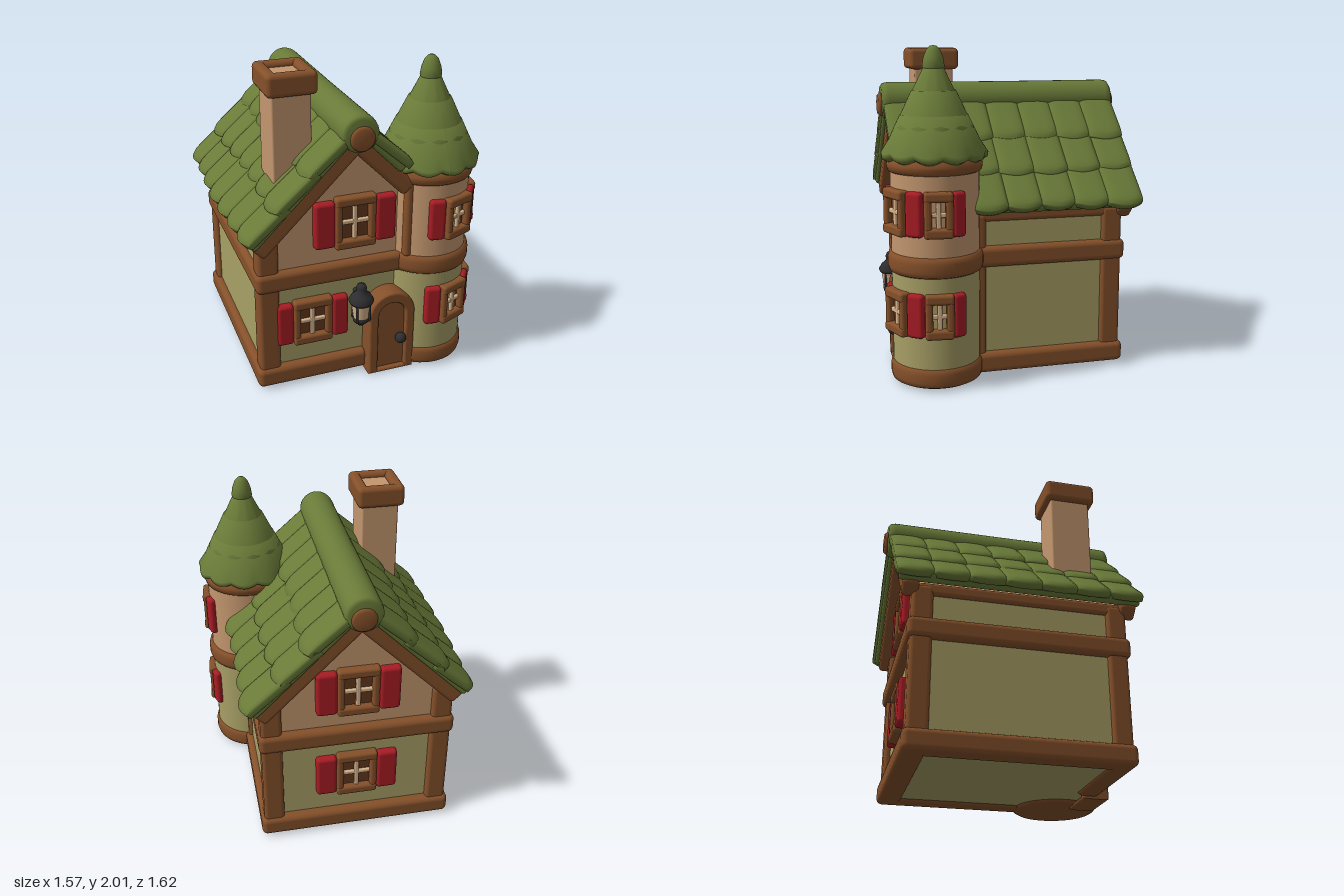
import * as THREE from 'three';
import { mergeVertices } from 'three/addons/utils/BufferGeometryUtils.js';
import { RoundedBoxGeometry } from 'three/addons/geometries/RoundedBoxGeometry.js';

const mat = (name, color) => new THREE.MeshStandardMaterial({ name, color });
const wood = mat('brown timber', 0x85502a);
const olive = mat('olive plaster', 0xa89f66);
const tan = mat('tan plaster', 0xc4976f);
const green = mat('green shingle', 0x697a38);
const red = mat('red shutter', 0xa81c24);
const iron = mat('dark iron', 0x2e2e31);
const pane = mat('dark pane', 0x63391e);
const cream = mat('cream bars', 0xd8b48c);

const CX = -0.08;             // house centre line
const TX = 0.45, TZ = 0.48;   // tower axis
const RIDGE = 1.70;

function add(parent, name, geo, material, x = 0, y = 0, z = 0) {
  const m = new THREE.Mesh(geo, material);
  m.name = name;
  m.position.set(x, y, z);
  parent.add(m);
  return m;
}
function group(parent, name, x = 0, y = 0, z = 0) {
  const g = new THREE.Group();
  g.name = name;
  g.position.set(x, y, z);
  parent.add(g);
  return g;
}
// Soft-edged box given by its limits
function box(parent, name, material, x0, x1, y0, y1, z0, z1, r = 0.025) {
  const w = x1 - x0, h = y1 - y0, d = z1 - z0;
  const geo = new RoundedBoxGeometry(w, h, d, 3, Math.min(r, w / 2.1, h / 2.1, d / 2.1));
  return add(parent, name, geo, material, (x0 + x1) / 2, (y0 + y1) / 2, (z0 + z1) / 2);
}
const lathe = (pts, n = 48) => new THREE.LatheGeometry(pts.map(p => new THREE.Vector2(...p)), n);

// Frame, pane and cross bars, facing +z with the wall at z = 0
function windowFrame(parent, w, h) {
  const t = 0.045, a = w / 2, b = h / 2;
  for (const s of [-1, 1]) {
    box(parent, 'windowPost', wood, s * (a - t / 2) - t / 2, s * (a - t / 2) + t / 2, -b + 0.01, b - 0.01, -0.03, 0.05, 0.018);
    box(parent, 'windowRail', wood, -a, a, s * (b - 0.03) - 0.03, s * (b - 0.03) + 0.03, -0.03, 0.055, 0.018);
  }
  box(parent, 'windowPane', pane, -a + 0.02, a - 0.02, -b + 0.02, b - 0.02, -0.03, 0.012, 0.003);
  box(parent, 'windowBarUpright', cream, -0.014, 0.014, -b + 0.04, b - 0.04, 0, 0.032, 0.008);
  box(parent, 'windowBarCross', cream, -a + 0.03, a - 0.03, -0.014, 0.014, 0, 0.03, 0.008);
}
function shutter(parent, x, w, h) {
  box(parent, 'shutter', red, x - w / 2, x + w / 2, -h / 2, h / 2, -0.02, 0.048, 0.022);
}
function shutteredWindow(root, x, y, z, w, h, sw, sh, back) {
  const g = group(root, 'shutteredWindow', x, y, z);
  if (back) g.rotation.y = Math.PI;
  windowFrame(g, w, h);
  for (const s of [-1, 1]) shutter(g, s * (w + sw) / 2, sw, sh);
}

// Pillow-shaped shingle with a curved lower edge; +x runs down the slope
function shingle(L, T, W) {
  let geo = new THREE.BoxGeometry(L, T, W, 10, 2, 10);
  const p = geo.attributes.position;
  for (let i = 0; i < p.count; i++) {
    const u = p.getX(i) / (L / 2), v = p.getZ(i) / (W / 2), y = p.getY(i);
    p.setX(i, p.getX(i) - 0.035 * v * v * Math.max(u, 0));
    p.setY(i, y > 0 ? y * (1 - 0.45 * v ** 4 - 0.4 * Math.max(u, 0) ** 8) : y);
  }
  geo.deleteAttribute('normal');
  geo.deleteAttribute('uv');
  geo = mergeVertices(geo);
  geo.computeVertexNormals();
  return geo;
}

function buildRoof(root) {
  const rows = [[0.02, 0.45], [0.36, 0.71], [0.62, 0.97]];
  const z0 = -0.785, z1 = 0.715, n = 7, cw = (z1 - z0) / n, cut = 0.26;
  for (const side of [-1, 1]) {
    const spin = group(root, side > 0 ? 'leftRoofSlope' : 'rightRoofSlope', CX, RIDGE, 0);
    spin.rotation.y = side > 0 ? 0 : Math.PI;
    const g = group(spin, 'slopePlane');
    g.rotation.z = -Math.PI / 4;
    // Decking; the tower side stops short at the tower
    const deck = (s, a, b) => box(g, 'roofDeck', green, 0, s, -0.05, 0.012, Math.min(a * side, b * side), Math.max(a * side, b * side), 0.02);
    if (side > 0) {
      deck(0.94, z0 + 0.01, 0.3);
      deck(0.42, 0.25, z1 - 0.01);
    } else deck(0.94, z0 + 0.01, z1 - 0.01);
    rows.forEach(([s0, s1], r) => {
      for (let c = 0; c < n; c++) {
        const z = z0 + cw * (c + 0.5), wob = Math.sin(c * 5.3 + r * 2.9 + side) * 0.012;
        if (side > 0 && r > 0 && z > cut + 0.06) continue;
        const tile = add(g, 'shingle', shingle(s1 - s0 + wob, 0.06, cw + 0.012), green, (s0 + s1 + wob) / 2, 0.012 + wob * 0.3, z * side);
        tile.rotation.z = 0.07;
      }
    });
    // Gable boards
    for (const [zc, s] of [[0.635, side > 0 ? 0.56 : 0.95], [-0.7, 0.95]])
      box(g, 'gableBoard', wood, 0, s, -0.14, -0.035, zc * side - 0.05, zc * side + 0.05);
  }
  // Ridge roll and its timber ends
  const roll = add(root, 'ridgeRoll', lathe([[0, -0.765], [0.09, -0.765], [0.11, -0.75], [0.115, -0.72], [0.113, 0], [0.115, 0.72], [0.11, 0.75], [0.09, 0.765], [0, 0.765]], 32), green, CX, 1.648, -0.035);
  roll.rotation.x = Math.PI / 2;
  const log = add(root, 'ridgeLog', lathe([[0, -0.785], [0.06, -0.785], [0.075, -0.77], [0.075, 0.77], [0.06, 0.785], [0, 0.785]], 32), wood, CX + 0.005, 1.625, -0.035);
  log.rotation.x = Math.PI / 2;
}

function buildBody(root) {
  box(root, 'plasterBody', olive, CX - 0.575, CX + 0.575, 0.02, 1.0, -0.65, 0.59, 0.005);
  const s = new THREE.Shape();
  [[-0.56, 0.74], [0.56, 0.74], [0.56, 1.03], [0, 1.58], [-0.56, 1.03]].forEach(([x, y], i) => i ? s.lineTo(x, y) : s.moveTo(x, y));
  add(root, 'gableWalls', new THREE.ExtrudeGeometry(s, { depth: 1.25, bevelEnabled: false }), tan, CX, 0, -0.655);
  // Horizontal beams around the house
  for (const [name, y0, y1, h] of [['baseBeam', 0, 0.13, 0.62], ['floorBeam', 0.67, 0.8, 0.615]]) {
    box(root, name, wood, CX - h, CX + h, y0, y1, -0.71, -0.56, 0.035);
    box(root, name, wood, CX - h, name === 'baseBeam' ? 0.02 : 0.4, y0, y1, 0.5, 0.645, 0.035);
    for (const e of [-1, 1]) box(root, name, wood, CX + e * (h - 0.07) - 0.07, CX + e * (h - 0.07) + 0.07, y0, y1, -0.705, e < 0 ? 0.64 : 0.4, 0.035);
  }
  // Corner posts and eave beams
  for (const e of [-1, 1]) {
    const x = CX + e * 0.535;
    box(root, 'cornerPost', wood, x - 0.065, x + 0.065, 0.02, 1.01, -0.69, -0.56);
    box(root, 'eaveBeam', wood, x - 0.06, x + 0.06, 0.95, 1.03, -0.65, e < 0 ? 0.6 : 0.3);
  }
  box(root, 'cornerPost', wood, CX - 0.6, CX - 0.47, 0.02, 1.01, 0.5, 0.625);
  box(root, 'towerSidePost', wood, 0.4, 0.52, 0.02, 1.0, 0.18, 0.28);
  box(root, 'towerFrontPost', wood, 0.235, 0.29, 0.78, 1.3, 0.55, 0.68);
}

function buildTower(root) {
  const t = group(root, 'tower', TX, 0, TZ);
  add(t, 'towerLowerWall', new THREE.CylinderGeometry(0.265, 0.265, 0.68, 48, 1), olive, 0, 0.36, 0);
  add(t, 'towerUpperWall', new THREE.CylinderGeometry(0.265, 0.265, 0.6, 48, 1), tan, 0, 1.02, 0);
  const band = (name, y0, y1, r) => add(t, name, lathe([[0, y0], [r - 0.03, y0], [r - 0.008, y0 + 0.012], [r, y0 + 0.04], [r, y1 - 0.04], [r - 0.008, y1 - 0.012], [r - 0.03, y1], [0, y1]]), wood);
  band('towerBase', 0, 0.13, 0.28);
  band('towerBelt', 0.67, 0.8, 0.288);
  band('towerEave', 1.265, 1.36, 0.285);
  // Windows turned around the wall, sharing the shutter between them
  for (const y of [0.45, 1.05]) {
    const at = (deg) => {
      const g = group(t, 'towerWindowPart', 0, y, 0);
      g.rotation.y = THREE.MathUtils.degToRad(deg);
      return group(g, 'wallFace', 0, 0, 0.25);
    };
    windowFrame(at(22), 0.205, 0.27);
    windowFrame(at(84), 0.17, 0.27);
    for (const [deg, w] of [[-9, 0.1], [54, 0.105], [109, 0.085]]) shutter(at(deg), 0, w, 0.265);
  }
  // Tiered conical roof with scalloped skirts
  const tiers = [
    [[0, 1.35], [0.27, 1.34], [0.305, 1.355], [0.312, 1.385], [0.27, 1.45], [0.2, 1.6], [0, 1.62]],
    [[0.15, 1.5], [0.22, 1.505], [0.232, 1.53], [0.2, 1.59], [0.13, 1.74], [0, 1.76]],
    [[0.08, 1.675], [0.13, 1.68], [0.14, 1.705], [0.115, 1.755], [0.06, 1.87], [0, 1.88]],
  ];
  tiers.forEach((pts, k) => {
    const geo = lathe(pts, 88), p = geo.attributes.position, lobes = 11;
    for (let i = 0; i < p.count; i++) {
      const x = p.getX(i), z = p.getZ(i), a = Math.atan2(z, x) + k * 0.3;
      const low = Math.max(0, 1 - (p.getY(i) - pts[0][1]) / 0.2);
      const dip = Math.abs(Math.sin(a * lobes / 2));
      const f = 1 + 0.05 * low * (dip - 0.4);
      p.setXYZ(i, x * f, p.getY(i) - 0.02 * low * (dip - 0.6), z * f);
    }
    geo.computeVertexNormals();
    add(t, 'towerRoofTier', geo, green);
  });
  add(t, 'towerFinial', lathe([[0, 1.84], [0.055, 1.85], [0.066, 1.875], [0.06, 1.92], [0.042, 1.97], [0.02, 1.993], [0, 1.997]], 32), green);
}

function archShape(r, top) {
  const s = new THREE.Shape();
  s.moveTo(-r, 0);
  s.lineTo(r, 0);
  s.lineTo(r, top - r);
  s.absarc(0, top - r, r, 0, Math.PI, false);
  s.lineTo(-r, 0);
  return s;
}
function buildDoor(root) {
  const d = group(root, 'door', 0.155, 0, 0.56);
  const frame = archShape(0.14, 0.55);
  frame.holes.push(archShape(0.105, 0.505));
  add(d, 'doorFrame', new THREE.ExtrudeGeometry(frame, { depth: 0.14, bevelThickness: 0.015, bevelSize: 0.013, bevelSegments: 3, curveSegments: 20 }), wood);
  add(d, 'doorPanel', new THREE.ExtrudeGeometry(archShape(0.105, 0.505), { depth: 0.125, bevelEnabled: false, curveSegments: 20 }), wood);
  add(d, 'doorKnob', new THREE.SphereGeometry(0.036, 20, 14), iron, 0.06, 0.225, 0.155);
}

function buildLamp(root) {
  const l = group(root, 'wallLamp', -0.05, 0, 0.69);
  add(l, 'lampCap', lathe([[0, 0.525], [0.07, 0.53], [0.08, 0.55], [0.06, 0.585], [0.03, 0.61], [0.034, 0.635], [0.025, 0.658], [0, 0.667]], 24), iron);
  add(l, 'lampGlass', new THREE.CylinderGeometry(0.064, 0.046, 0.12, 20), cream, 0, 0.475, 0);
  add(l, 'lampFoot', lathe([[0, 0.365], [0.02, 0.372], [0.025, 0.39], [0.048, 0.4], [0.053, 0.42], [0.045, 0.43], [0, 0.43]], 24), iron);
  for (let i = 0; i < 4; i++) {
    const a = Math.PI / 4 + i * Math.PI / 2, c = Math.SQRT1_2 * 0.058;
    add(l, 'lampBar', new THREE.CylinderGeometry(0.008, 0.008, 0.13, 8), iron, Math.sign(Math.cos(a)) * c, 0.475, Math.sign(Math.sin(a)) * c);
  }
  box(l, 'lampBracket', iron, -0.015, 0.015, 0.55, 0.58, -0.11, 0, 0.01);
}

function buildChimney(root) {
  const c = group(root, 'chimney', -0.41, 0, 0.345);
  box(c, 'chimneyShaft', tan, -0.12, 0.12, 1.15, 1.94, -0.13, 0.13, 0.012);
  for (const s of [-1, 1]) {
    box(c, 'chimneyCap', wood, s * 0.117 - 0.036, s * 0.117 + 0.036, 1.835, 1.975, -0.165, 0.165, 0.03);
    box(c, 'chimneyCap', wood, -0.153, 0.153, 1.835, 1.975, s * 0.13 - 0.035, s * 0.13 + 0.035, 0.03);
  }
}

export function createModel() {
  const root = new THREE.Group();
  root.name = 'cottage';
  buildBody(root);
  buildRoof(root);
  buildTower(root);
  buildDoor(root);
  buildLamp(root);
  buildChimney(root);
  shutteredWindow(root, -0.07, 1.06, 0.595, 0.26, 0.34, 0.13, 0.3);
  shutteredWindow(root, -0.34, 0.42, 0.59, 0.25, 0.31, 0.105, 0.28);
  shutteredWindow(root, CX, 1.06, -0.655, 0.26, 0.33, 0.13, 0.3, true);
  shutteredWindow(root, CX, 0.42, -0.65, 0.26, 0.32, 0.13, 0.29, true);
  return root;
}
